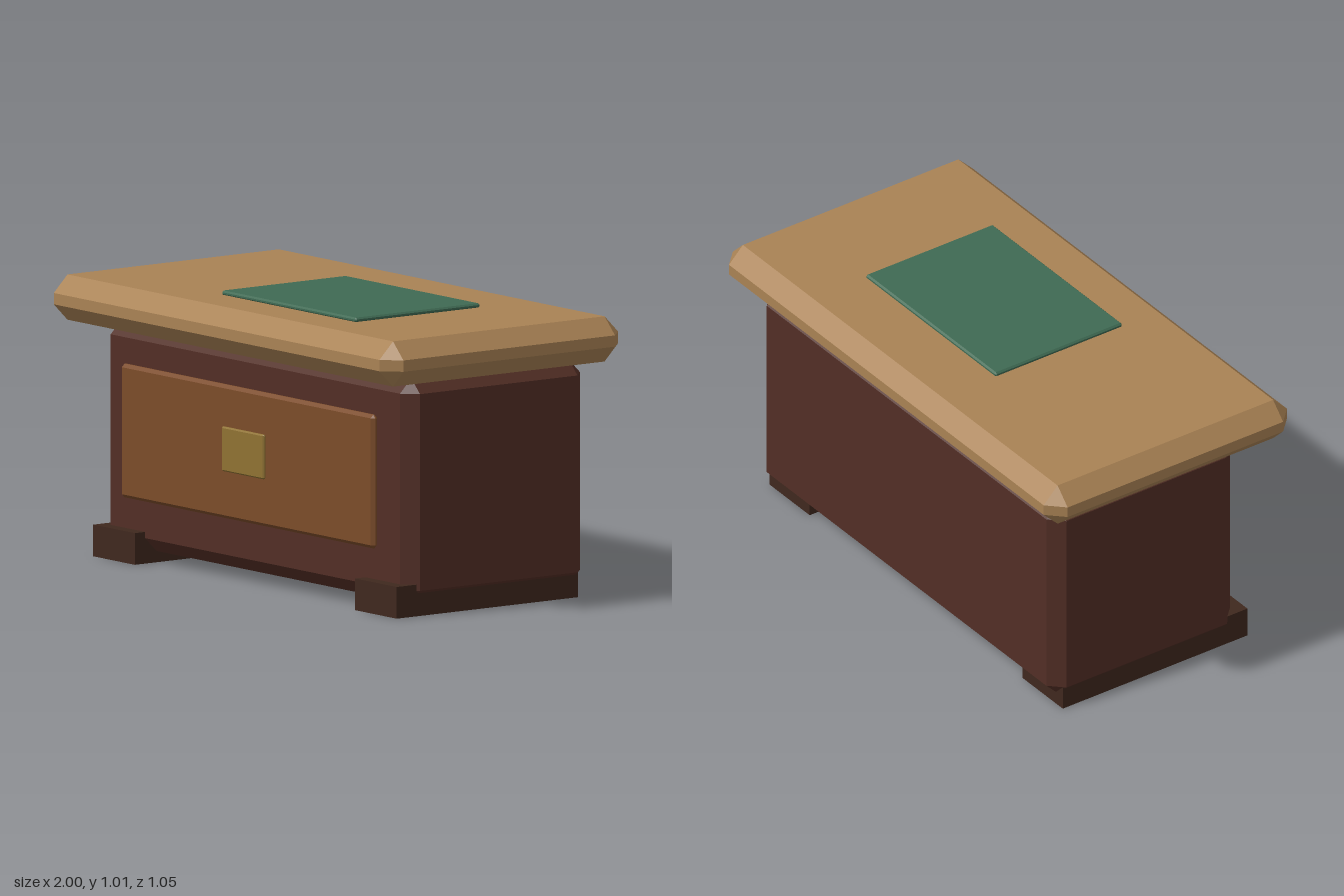
import * as THREE from 'three';
import { ConvexGeometry } from 'three/addons/geometries/ConvexGeometry.js';

const paint = (color) => new THREE.MeshStandardMaterial({ color, flatShading: true });

// Box between two corners with every edge chamfered by b
function chamferBox(name, min, max, b, material) {
  const half = max.map((v, i) => (v - min[i]) / 2);
  const points = [];
  for (const sx of [-1, 1]) for (const sy of [-1, 1]) for (const sz of [-1, 1]) {
    // each corner becomes three points, one on each adjoining face
    for (let face = 0; face < 3; face++) {
      const h = half.map((v, i) => (i === face ? v : v - b));
      points.push(new THREE.Vector3(sx * h[0], sy * h[1], sz * h[2]));
    }
  }
  const mesh = new THREE.Mesh(new ConvexGeometry(points), material);
  mesh.position.set(...min.map((v, i) => v + half[i]));
  mesh.name = name;
  return mesh;
}

export function createModel() {
  const desk = new THREE.Group();
  desk.name = 'desk';

  // Cabinet and overhanging top
  desk.add(chamferBox('body', [-0.885, 0.04, -0.437], [0.885, 0.836, 0.354], 0.05, paint(0x522e25)));
  desk.add(chamferBox('desktop', [-1, 0.835, -0.524], [1, 0.995, 0.524], 0.06, paint(0xa98254)));

  // Front panel and its plate, each standing slightly proud
  desk.add(chamferBox('frontPanel', [-0.73, 0.227, 0.365], [0.73, 0.7, 0.394], 0.012, paint(0x7c4c29)));
  desk.add(chamferBox('frontPlate', [-0.122, 0.398, 0.398], [0.122, 0.556, 0.412], 0.005, paint(0x8f7233)));

  // Writing pad, set off centre
  desk.add(chamferBox('writingPad', [-0.256, 0.992, -0.238], [0.52, 1.01, 0.309], 0.006, paint(0x3f6a53)));

  // Plinth runner under each end
  const footMaterial = paint(0x3f281e);
  for (const side of [-1, 1]) {
    const foot = new THREE.Mesh(new THREE.BoxGeometry(0.24, 0.112, 0.795), footMaterial);
    foot.position.set(side * 0.756, 0.056, 0.002);
    foot.name = side > 0 ? 'leftFoot' : 'rightFoot';
    desk.add(foot);
  }
  return desk;
}
